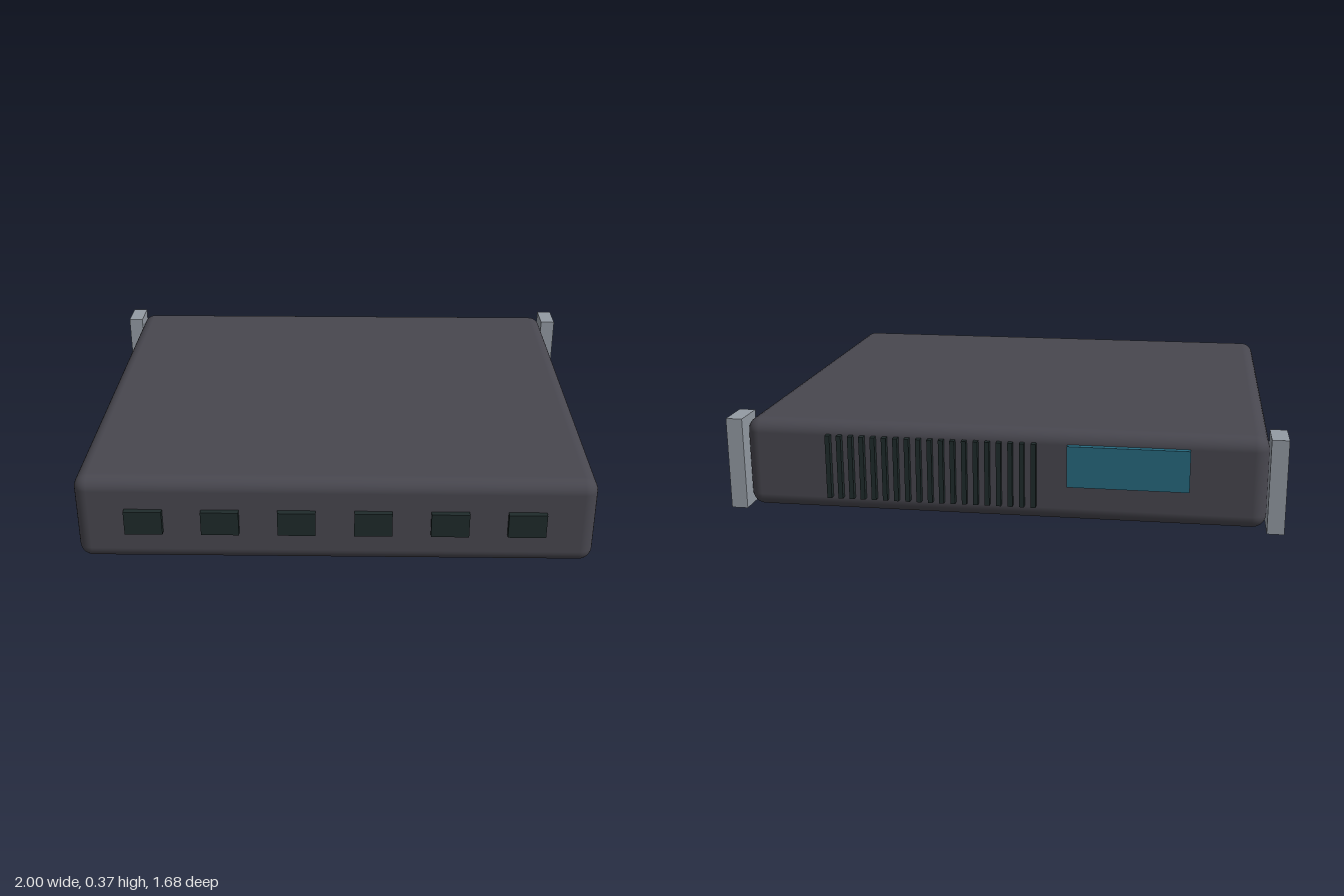
import * as THREE from 'three';
import { RoundedBoxGeometry } from 'three/addons/geometries/RoundedBoxGeometry.js';

const material = (name, color) => {
  const m = new THREE.MeshStandardMaterial({ color });
  m.name = name;
  return m;
};

export function createModel() {
  const group = new THREE.Group();
  group.name = 'rackUnit';

  const casing = material('charcoal casing', 0x48474f);
  const metal = material('grey metal', 0x949ba4);
  const dark = material('dark green rubber', 0x1f2b2b);
  const teal = material('teal panel', 0x27697f);

  const add = (name, geometry, mat, x, y, z) => {
    const mesh = new THREE.Mesh(geometry, mat);
    mesh.name = name;
    mesh.position.set(x, y, z);
    group.add(mesh);
  };

  // Rounded main housing
  add('housing', new RoundedBoxGeometry(1.88, 0.335, 1.635, 4, 0.05), casing, 0, 0.1975, 0);

  // Mounting ears and feet, mirrored left and right
  const earGeometry = new THREE.BoxGeometry(0.06, 0.34, 0.133);
  const footGeometry = new THREE.CylinderGeometry(0.086, 0.086, 0.04, 24);
  for (const [side, s] of [['left', 1], ['right', -1]]) {
    add(side + 'MountingEar', earGeometry, metal, s * 0.97, 0.2, -0.7735);
    add(side + 'FrontFoot', footGeometry, dark, s * 0.71, 0.02, 0.613);
    add(side + 'BackFoot', footGeometry, dark, s * 0.71, 0.02, -0.61);
  }

  // Row of front ports
  const portGeometry = new THREE.BoxGeometry(0.137, 0.092, 0.04);
  for (let i = 0; i < 6; i++) {
    add('frontPort' + (i + 1), portGeometry, dark, (i - 2.5) * 0.276, 0.2, 0.82);
  }

  // Row of cooling fins on the back
  const finGeometry = new THREE.BoxGeometry(0.017, 0.235, 0.04);
  for (let i = 0; i < 19; i++) {
    add('coolingFin' + (i + 1), finGeometry, dark, -0.122 + i * 0.0415, 0.202, -0.82);
  }

  // Teal panel beside the fins
  add('backPanel', new THREE.BoxGeometry(0.43, 0.15, 0.04), teal, -0.455, 0.242, -0.82);

  return group;
}
